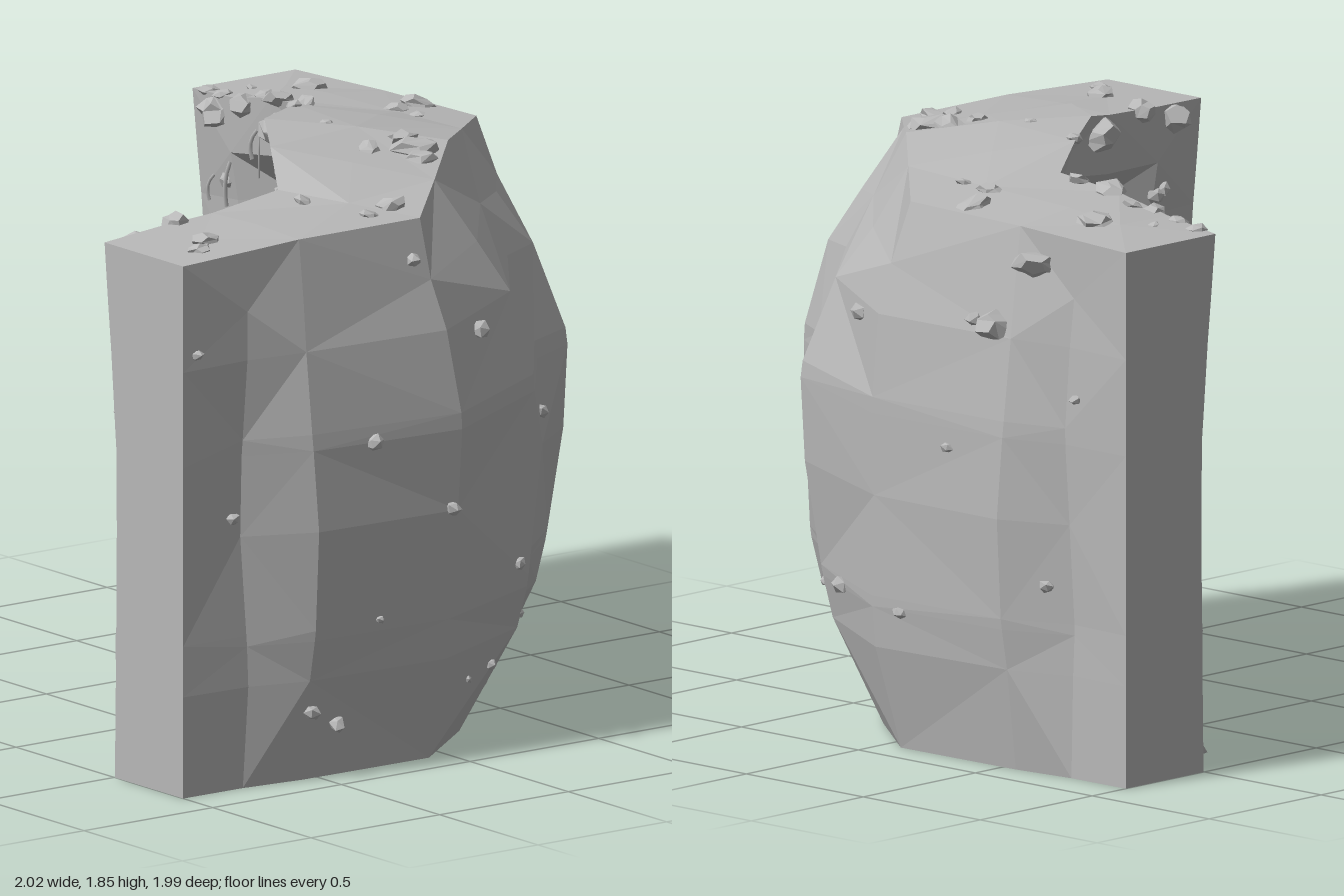
import * as THREE from 'three';

let seed = 11;
const rand = () => {
  seed = (seed * 16807) % 2147483647;
  return seed / 2147483647;
};
const jitter = (a) => (rand() - 0.5) * 2 * a;

// Plan stations from the left end to the middle of the bend: outer rim, outer bulge,
// inner rim, inner recess as [x, z], then how far the brow is already cut back
const half = [
  [[-1, -0.85], [-1, -0.85], [-1, -0.45], [-1, -0.51], 0.3],
  [[-0.77, -0.85], [-0.77, -0.86], [-0.77, -0.42], [-0.77, -0.47], 0.2],
  [[-0.55, -0.85], [-0.57, -0.96], [-0.55, -0.41], [-0.56, -0.73], 0.08],
  [[-0.08, -0.85], [-0.04, -0.99], [-0.28, -0.39], [-0.13, -0.7], 0.15],
  [[0.16, -0.61], [0.4, -0.82], [-0.18, -0.22], [0.13, -0.5], 0.42],
  [[0.385, -0.385], [0.585, -0.585], [-0.02, 0.02], [0.325, -0.325], 0.45],
];
const swap = ([x, z]) => [-z, -x];
const stations = [...half, ...half.slice(0, 5).reverse().map((s) => [...s.slice(0, 4).map(swap), s[4]])];
const rimHeights = [1.69, 1.7, 1.71, 1.72, 1.76, 1.8, 1.75, 1.71, 1.71, 1.7, 1.69];
const lipHeights = [1.69, 1.71, 1.75, 1.77, 1.83, 1.85, 1.83, 1.74, 1.71, 1.7, 1.69];

// Height fractions with the outer bulge and inner recess (from the brow cut) at each level
const levels = [
  [0, 0.24, () => 0.88], [0.19, 0.76, () => 0.96], [0.265, 0.87, () => 0.94], [0.285, 0.89, () => 1],
  [0.47, 1, () => 1.04], [0.62, 1, () => 1], [0.65, 0.98, () => 0.92],
  [0.8, 0.7, (brow) => 0.42 + brow * 0.5], [0.89, 0.37, (brow) => brow], [1, 0, () => 0],
];

function buildWall(material) {
  const n = levels.length;
  const lerp = (a, b, t) => [a[0] + (b[0] - a[0]) * t, a[1] + (b[1] - a[1]) * t];
  const rings = stations.map(([rim, bulge, lip, recess, brow], s) => {
    const rough = s === 0 || s === stations.length - 1 ? 0 : 1;
    const h = rimHeights[s], k = lipHeights[s];
    const outer = levels.map(([f, out]) => {
      const [x, z] = lerp(rim, bulge, out);
      const j = f > 0 && f < 1 ? rough * 0.01 * Math.sin(9 * f + 2.1 * s) : 0;
      return [x + j, f * h, z - j];
    });
    const inner = levels.map(([f, , cut]) => {
      const [x, z] = lerp(lip, recess, cut(brow));
      const r = f > 0 && f < 1 ? rough : 0;
      const j = r * jitter(0.012);
      return [x + j, f * k + r * jitter(0.012), z - j];
    });
    const [mx, mz] = lerp(rim, lip, 0.5);
    return [...outer, [mx, (h + k) / 2 + rough * jitter(0.015), mz], ...inner.reverse()];
  });
  const pos = [];
  const tri = (a, b, c) => pos.push(...a, ...b, ...c);
  const count = 2 * n + 1;
  for (let s = 0; s < rings.length - 1; s++) {
    for (let i = 0; i < count; i++) {
      const j = (i + 1) % count;
      const a = rings[s][i], b = rings[s][j], c = rings[s + 1][j], d = rings[s + 1][i];
      if ((s + i) % 2) { tri(a, b, c); tri(a, c, d); } else { tri(a, b, d); tri(b, c, d); }
    }
  }
  // flat end caps
  [[rings[0], true], [rings[rings.length - 1], false]].forEach(([r, flip]) => {
    const face = (a, b, c) => (flip ? tri(a, c, b) : tri(a, b, c));
    for (let i = 0; i < n - 1; i++) {
      face(r[i], r[i + 1], r[2 * n - i - 1]);
      face(r[i], r[2 * n - i - 1], r[2 * n - i]);
    }
    face(r[n - 1], r[n], r[n + 1]);
  });
  const geo = new THREE.BufferGeometry();
  geo.setAttribute('position', new THREE.Float32BufferAttribute(pos, 3));
  geo.computeVertexNormals();
  const wall = new THREE.Mesh(geo, material);
  wall.name = 'caveWall';
  return wall;
}

// Irregular faceted stone, kept above the ground
function makeStone(p, r, material, flat = 0.85) {
  const geo = r > 0.035 ? new THREE.DodecahedronGeometry(r) : new THREE.IcosahedronGeometry(r);
  const v = geo.attributes.position;
  const f = 2 + rand() * 4, phase = rand() * 6;
  const sx = 0.9 + rand() * 0.4, sz = 0.8 + rand() * 0.3;
  const spin = new THREE.Euler(jitter(0.3), rand() * 6, jitter(0.4));
  for (let i = 0; i < v.count; i++) {
    const q = new THREE.Vector3().fromBufferAttribute(v, i);
    q.multiplyScalar(1 + 0.14 * Math.sin((q.x * f + q.y * 3) / r + phase));
    q.set(q.x * sx, q.y * flat, q.z * sz).applyEuler(spin).add(p);
    v.setXYZ(i, q.x, Math.max(q.y, 0), q.z);
  }
  geo.computeVertexNormals();
  const stone = new THREE.Mesh(geo, material);
  stone.name = 'stone';
  return stone;
}

// Stones as [across, up, radius], dropped onto the wall from one direction
const innerStones = [
  [-0.86, 1.65, 0.055], [-0.7, 1.7, 0.045], [-0.52, 1.65, 0.06], [-0.25, 1.68, 0.055], [-0.95, 1.17, 0.04],
  [-0.92, 1.06, 0.04], [-0.84, 1.23, 0.03], [-0.82, 1.43, 0.03], [-0.92, 0.74, 0.015], [-0.9, 0.43, 0.025],
  [-0.83, 0.51, 0.025], [-0.45, 1.46, 0.03], [-0.23, 1.39, 0.04], [-0.2, 1.56, 0.035], [0.05, 1.4, 0.06],
  [0.04, 0.8, 0.04], [0.12, 0.62, 0.04], [0.13, 1.03, 0.05], [0.31, 1.0, 0.06], [0.38, 0.98, 0.045],
  [0.43, 0.71, 0.06], [0.4, 0.51, 0.055], [0.44, 0.28, 0.055], [0.28, 0.12, 0.055], [0.43, 0.12, 0.05],
  [0.2, 0.39, 0.04], [0.3, 1.15, 0.04], [0.15, 1.25, 0.05], [0.3, 1.43, 0.045], [0.1, 1.55, 0.04],
  [0.24, 1.62, 0.055], [0.38, 1.65, 0.045], [0.24, 1.76, 0.05], [0.38, 1.4, 0.04], [0.36, 0.38, 0.035],
];
const baseStones = [[-0.77, 0.02, 0.1], [-0.58, 0.01, 0.05], [-0.42, 0.02, 0.1], [-0.1, 0.01, 0.05],
  [0.14, 0.01, 0.07], [0.26, 0.02, 0.08], [0.38, 0.02, 0.09], [0.44, 0.02, 0.06]];
const slabStones = [[-0.43, 1.35, 0.08], [-0.01, 0.63, 0.05], [0.03, 0.5, 0.065], [0.27, 0.27, 0.08], [0.15, 1.1, 0.06]];
const topStones = [
  [-0.62, -0.86, 0.07], [-0.7, -0.67, 0.06], [-0.93, -0.46, 0.035], [-0.83, -0.44, 0.03], [-0.65, -0.46, 0.03],
  [-0.52, -0.42, 0.05], [-0.38, -0.41, 0.04], [-0.28, -0.78, 0.055], [-0.22, -0.64, 0.04], [-0.1, -0.63, 0.025],
  [-0.83, -0.55, 0.02], [0.32, -0.26, 0.055], [0.4, -0.25, 0.07], [0.46, -0.22, 0.05], [0.1, -0.13, 0.02],
  [0.34, -0.11, 0.04], [0.72, 0.09, 0.055], [0.75, 0.2, 0.03], [0.52, 0.28, 0.03], [0.28, 0.22, 0.045],
  [0.4, 0.44, 0.045], [0.66, 0.77, 0.05], [0.73, 0.85, 0.04], [0.12, 0.12, 0.02], [-0.16, -0.2, 0.03],
];
const sideStones = [
  [0.13, 1.59, 0.03], [0.95, 1.4, 0.02], [0.35, 1.06, 0.03], [0.81, 0.86, 0.025], [0.06, 0.81, 0.03],
  [-0.13, 1.33, 0.035], [-0.56, 0.96, 0.025], [-0.32, 0.55, 0.025], [0.32, 0.49, 0.015], [0.55, 0.22, 0.03],
  [0.45, 0.17, 0.03], [-0.43, 0.35, 0.02], [-0.22, 0.24, 0.02], [-0.1, 0.22, 0.015], [-0.6, 0.22, 0.02],
];
const backStones = [[-0.5, 1.4, 0.06], [-0.42, 1.41, 0.03], [-0.35, 1.0, 0.02], [-0.7, 0.6, 0.025],
  [-0.15, 0.45, 0.025], [0.1, 1.35, 0.035], [0.2, 0.47, 0.035], [-0.8, 1.2, 0.02]];

export function createModel() {
  const model = new THREE.Group();
  const rock = new THREE.MeshStandardMaterial({ color: 0xb8b8b8 });
  rock.name = 'grey rock';
  const wall = buildWall(rock);
  wall.updateMatrixWorld();
  model.add(wall);

  const caster = new THREE.Raycaster();
  const hit = (from, dir) => {
    caster.set(new THREE.Vector3(...from), new THREE.Vector3(...dir));
    const h = caster.intersectObject(wall)[0];
    return h && h.point;
  };
  const fromFront = (x, y) => hit([x, y, 3], [0, 0, -1]);
  const fromInside = (x, y) => hit([-3, y, -x], [1, 0, 0]);

  const scatter = (name, list, place, flat) => {
    const group = new THREE.Group();
    group.name = name;
    list.forEach(([a, b, r]) => {
      const p = place(a, b);
      if (p) group.add(makeStone(p, r, rock, flat));
    });
    model.add(group);
  };
  scatter('innerStones', innerStones, fromFront);
  scatter('baseStones', baseStones, (x, y) => fromFront(x, y).add(new THREE.Vector3(0, 0, 0.07)), 0.7);
  scatter('slabStones', slabStones, fromFront, 0.25);
  scatter('topStones', topStones, (x, z) => hit([x, 3, z], [0, -1, 0]), 0.55);
  scatter('sideStones', sideStones, (z, y) => hit([3, y, z], [-1, 0, 0]));
  scatter('backStones', backStones, (x, y) => hit([x, y, -3], [0, 0, 1]));
  // the other arm carries the same stones on its inner side
  scatter('armStones', [...innerStones, ...baseStones].filter(([x]) => x < -0.3), fromInside);

  // small rubble along the brow and down the right of the alcove
  const rubble = [];
  for (let i = 0; i < 70; i++) {
    const r = 0.012 + 0.022 * rand();
    rubble.push(i % 2 ? [-0.3 + 0.74 * rand(), 1.3 + 0.5 * rand(), r] : [0.46 - 0.3 * rand() ** 2, 1.3 * rand(), r]);
  }
  scatter('rubble', rubble, fromFront);

  // thin roots hanging along the brow and the alcove
  const roots = new THREE.Group();
  roots.name = 'hangingRoots';
  for (let i = 0; i < 44; i++) {
    const x = i < 32 ? -0.9 + 1.32 * rand() : 0.1 + 0.32 * rand();
    const y = i < 32 ? 1.35 + 0.35 * rand() : 0.3 + 0.9 * rand();
    const p = i % 6 === 5 ? fromInside(x, y) : fromFront(x, y);
    if (!p) continue;
    const len = 0.08 + 0.13 * rand();
    const bend = jitter(0.035);
    const curve = new THREE.QuadraticBezierCurve3(p,
      new THREE.Vector3(p.x + bend, p.y - len * 0.4, p.z + 0.025),
      new THREE.Vector3(p.x + bend * 0.4, p.y - len, p.z + 0.012));
    const root = new THREE.Mesh(new THREE.TubeGeometry(curve, 4, 0.003 + 0.006 * rand(), 4), rock);
    root.name = 'root';
    roots.add(root);
  }
  model.add(roots);
  return model;
}
